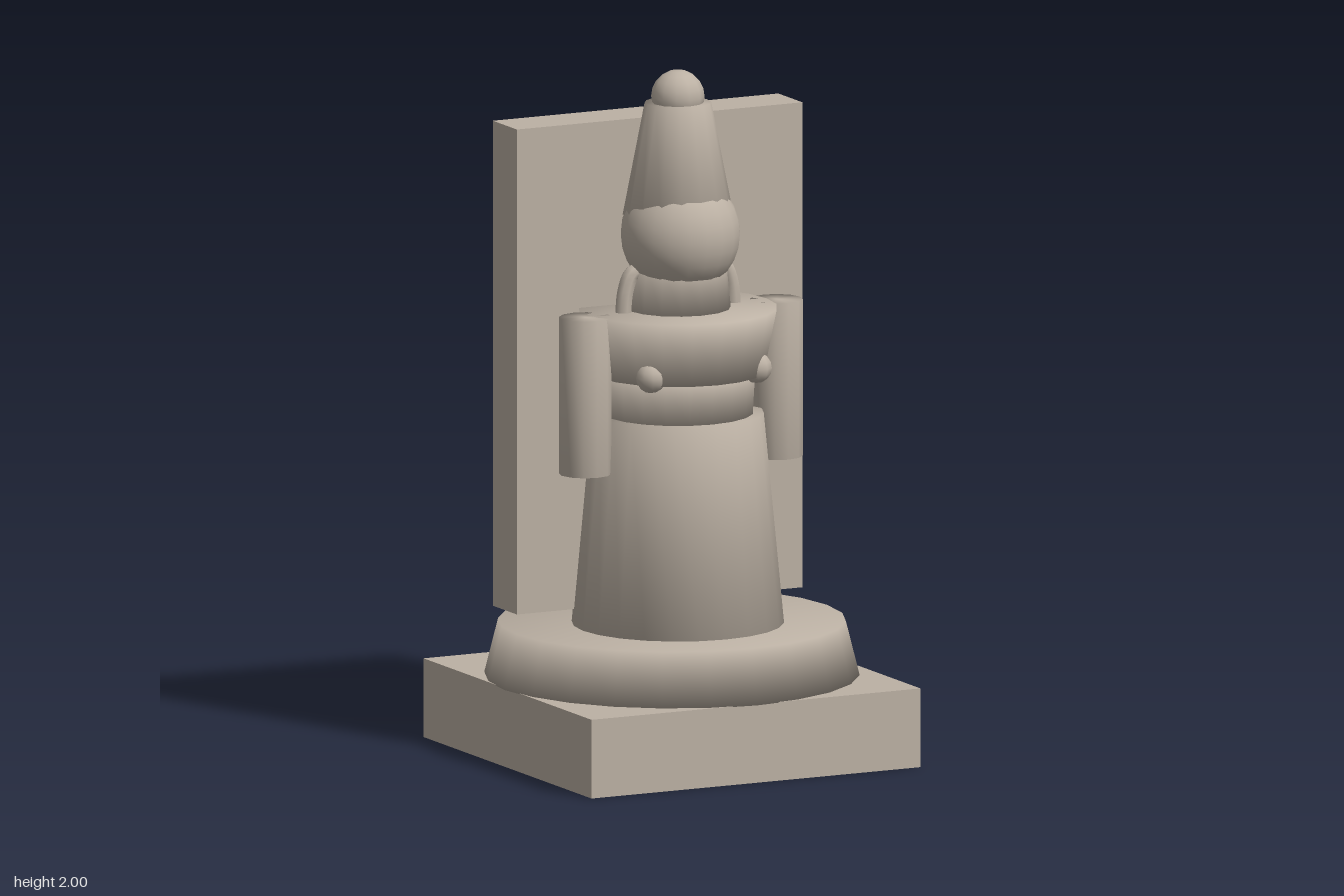
import * as THREE from 'three';

export function createModel() {
  const model = new THREE.Group();
  model.name = 'figurine';
  const stone = new THREE.MeshStandardMaterial({ color: 0xbcb1a4 });
  stone.name = 'stone';
  const axisZ = 0.037; // the figure stands slightly forward of centre

  function add(name, geometry, x = 0, y = 0, z = 0) {
    const mesh = new THREE.Mesh(geometry, stone);
    mesh.name = name;
    mesh.position.set(x, y, z);
    model.add(mesh);
    return mesh;
  }

  // Closed, softly shaded tapered drum between two heights
  function drum(y0, r0, y1, r1, sides) {
    const profile = [[0, y0], [r0, y0], [r1, y1], [0, y1]];
    return new THREE.LatheGeometry(profile.map(([r, y]) => new THREE.Vector2(r, y)), sides);
  }

  // Plinth and backing slab
  add('plinth', new THREE.BoxGeometry(1.06, 0.23, 1.06), 0, 0.115, 0);
  add('roundBase', drum(0.228, 0.54, 0.387, 0.5, 24));
  add('backPanel', new THREE.BoxGeometry(0.92, 1.417, 0.152), 0, 1.137, -0.154);

  // Robe, waist, collar and neck
  add('robe', drum(0.38, 0.306, 1.0, 0.247, 24), 0, 0, axisZ);
  add('waist', drum(0.99, 0.217, 1.13, 0.225, 20), 0, 0, axisZ);
  add('collar', drum(1.12, 0.25, 1.307, 0.287, 20), 0, 0, axisZ);
  add('neck', drum(1.3, 0.153, 1.45, 0.138, 16), 0, 0, axisZ);

  // Head, pointed hat and pompom
  add('head', new THREE.SphereGeometry(0.173, 20, 14), 0, 1.525, 0.053);
  add('hat', drum(1.58, 0.159, 1.905, 0.096, 16), 0, 0, axisZ);
  add('pompom', new THREE.SphereGeometry(0.077, 12, 10), 0, 1.923, axisZ);

  // Mirrored arms, side locks and chest knobs
  for (const [side, s] of [['left', 1], ['right', -1]]) {
    add(side + 'Arm', drum(0.85, 0.076, 1.307, 0.076, 12), s * 0.308, 0, 0.056);
    const path = new THREE.CatmullRomCurve3(
      [[0.12, 1.43], [0.15, 1.415], [0.17, 1.365], [0.178, 1.28]]
        .map(([x, y]) => new THREE.Vector3(s * x, y, 0.038)));
    add(side + 'Lock', new THREE.TubeGeometry(path, 12, 0.024, 8));
    add(side + 'Knob', new THREE.SphereGeometry(0.045, 10, 8), s * 0.17, 1.143, 0.2);
  }
  return model;
}
